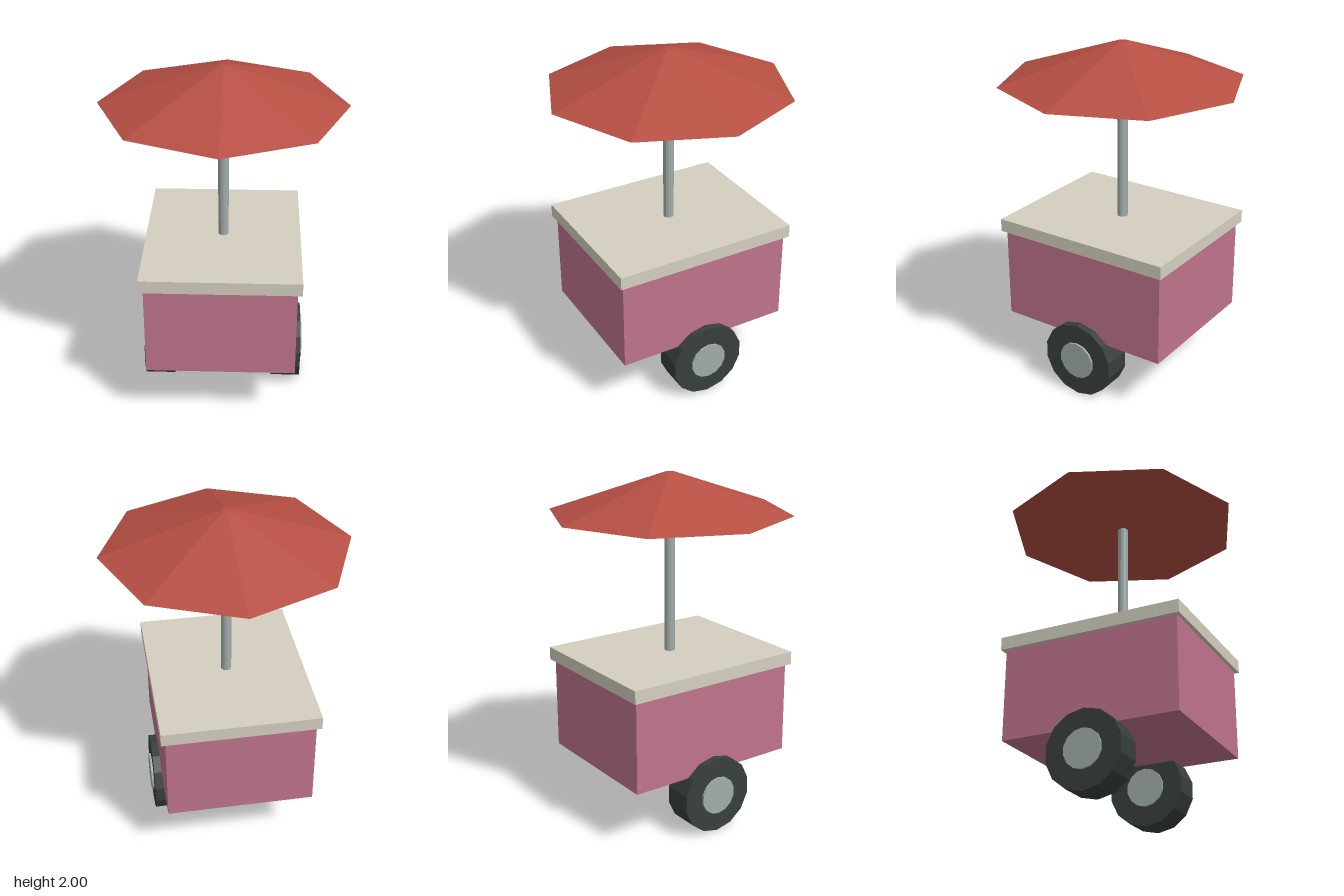
import * as THREE from 'three';

const paint = (name, color) => {
  const m = new THREE.MeshStandardMaterial({ color, flatShading: true });
  m.name = name;
  return m;
};

export function createModel() {
  const pink = paint('pink', 0xc0748c);
  const cream = paint('cream', 0xd4cfc0);
  const red = paint('red', 0xb64f43);
  const metal = paint('grey metal', 0xa0adaa);
  const rubber = paint('dark rubber', 0x383f3e);

  const cart = new THREE.Group();
  cart.name = 'parasolCart';
  const add = (name, geometry, material, x, y, z, parent = cart) => {
    const mesh = new THREE.Mesh(geometry, material);
    mesh.name = name;
    mesh.position.set(x, y, z);
    parent.add(mesh);
    return mesh;
  };

  // Cart box and overhanging worktop
  add('body', new THREE.BoxGeometry(0.842, 0.535, 1.042), pink, 0, 0.6275, 0);
  add('worktop', new THREE.BoxGeometry(0.892, 0.075, 1.086), cream, 0, 0.9325, 0);

  // Parasol: pole and closed eight-sided canopy
  add('pole', new THREE.CylinderGeometry(0.03, 0.03, 0.87, 12), metal, 0, 1.385, 0);
  add('canopy', new THREE.CylinderGeometry(0.028, 0.69, 0.226, 8), red, 0, 1.887, 0);

  // Wheels on both sides, each with a hub running through the tyre
  const disc = (radius, width, sides) =>
    new THREE.CylinderGeometry(radius, radius, width, sides)
      .rotateY(Math.PI / 2).rotateZ(Math.PI / 2);
  const tyre = disc(0.224, 0.17, 14);
  const hub = disc(0.111, 0.194, 14);
  for (const side of [-1, 1]) {
    const wheel = new THREE.Group();
    wheel.name = side > 0 ? 'leftWheel' : 'rightWheel';
    wheel.position.set(side * 0.379, 0.224, 0);
    add('tyre', tyre, rubber, 0, 0, 0, wheel);
    add('hub', hub, metal, 0, 0, 0, wheel);
    cart.add(wheel);
  }
  return cart;
}
